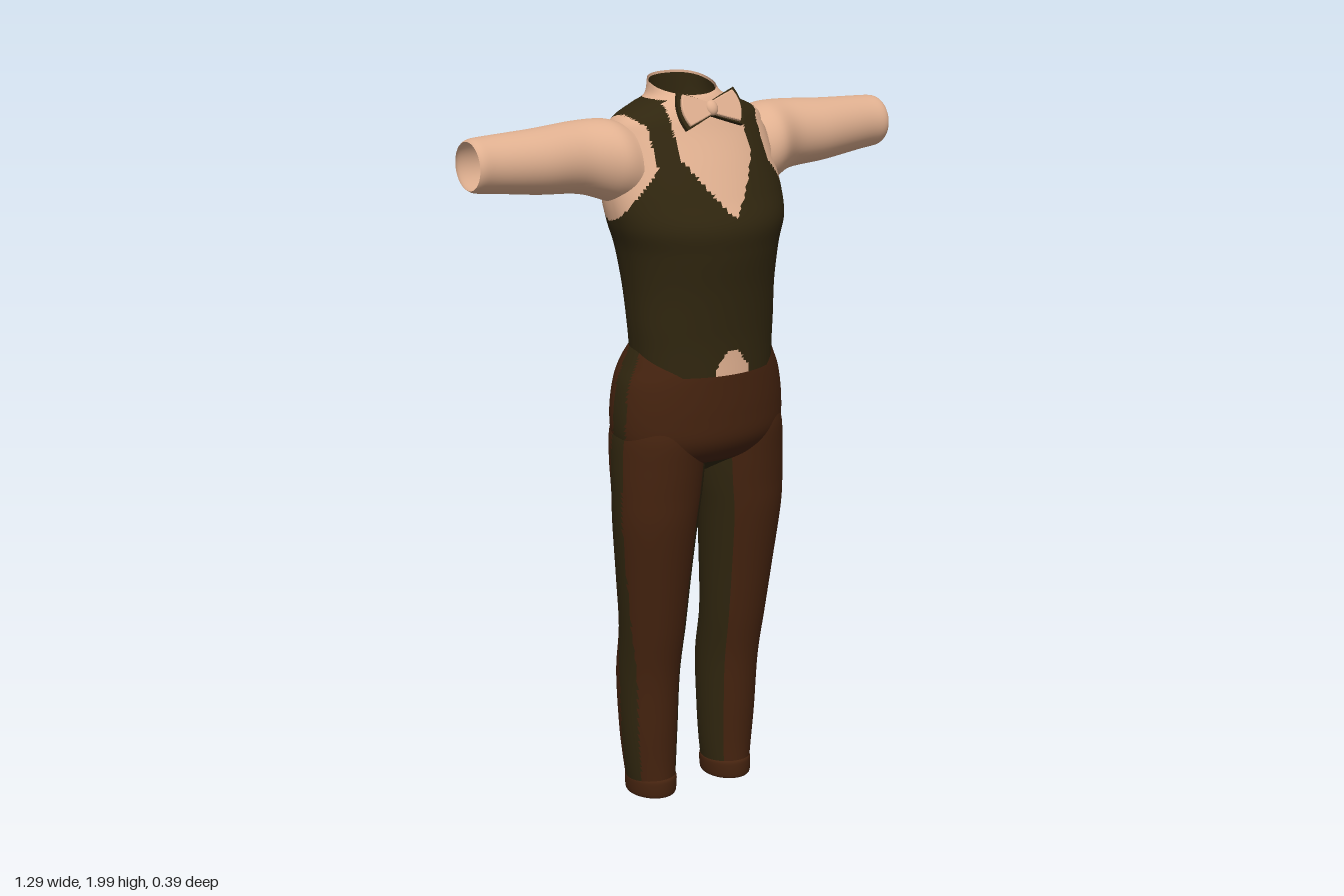
import * as THREE from 'three';

const mat = (name, color) => {
  const m = new THREE.MeshStandardMaterial({ color, side: THREE.DoubleSide });
  m.name = name;
  return m;
};

// Catmull-Rom blend of four numbers
const blend = (a, b, c, d, t) =>
  b + 0.5 * t * (c - a + t * (2 * a - 5 * b + 4 * c - d + t * (3 * (b - c) + d - a)));

// Smooth tube through rows [h, u0, u1, v0, v1, tilt], split into material groups.
// pick(point, cosine) gives a material index, or -1 for a hole.
function loft(name, rows, materials, { segs = 48, steps = 6, back = 2, along = 'y', pick = () => 0 } = {}) {
  const pos = [], pts = [], last = (rows.length - 1) * steps;
  for (let j = 0; j <= last; j++) {
    const k = Math.min(Math.floor(j / steps), rows.length - 2), t = j / steps - k;
    const row = (i) => rows[Math.max(0, Math.min(rows.length - 1, i))];
    const [h, u0, u1, v0, v1, tilt] = [0, 1, 2, 3, 4, 5].map((c) =>
      blend(row(k - 1)[c] || 0, row(k)[c] || 0, row(k + 1)[c] || 0, row(k + 2)[c] || 0, t));
    for (let i = 0; i < segs; i++) {
      const a = (i / segs) * Math.PI * 2, e = Math.sin(a) < 0 ? 2 / back : 1;
      const c = Math.sign(Math.cos(a)) * Math.abs(Math.cos(a)) ** e;
      const s = Math.sign(Math.sin(a)) * Math.abs(Math.sin(a)) ** e;
      const u = (u0 + u1) / 2 + c * (u1 - u0) / 2, v = (v0 + v1) / 2 + s * (v1 - v0) / 2;
      const y = h - (tilt || 0) * s;
      const p = along === 'y' ? new THREE.Vector3(u, y, v) : new THREE.Vector3(y, v, u);
      pts.push(p);
      pos.push(p.x, p.y, p.z);
    }
  }
  const all = [], buckets = materials.map(() => []);
  for (let j = 0; j < last; j++) {
    for (let i = 0; i < segs; i++) {
      const n = (i + 1) % segs;
      const a = j * segs + i, b = a + segs, c = j * segs + n, d = c + segs;
      for (const tri of [[a, b, c], [c, b, d]]) {
        all.push(...tri);
        const mid = new THREE.Vector3();
        tri.forEach((q) => mid.addScaledVector(pts[q], 1 / 3));
        const m = pick(mid, Math.cos(((i + 0.5) / segs) * Math.PI * 2));
        if (m >= 0) buckets[m].push(...tri);
      }
    }
  }
  const geo = new THREE.BufferGeometry();
  geo.setAttribute('position', new THREE.Float32BufferAttribute(pos, 3));
  geo.setIndex(all);
  geo.computeVertexNormals();
  geo.setIndex(buckets.flat());
  let start = 0;
  buckets.forEach((b, m) => { geo.addGroup(start, b.length, m); start += b.length; });
  const mesh = new THREE.Mesh(geo, materials);
  mesh.name = name;
  return mesh;
}

export function createModel() {
  const model = new THREE.Group();
  model.name = 'suit';
  const shirt = mat('shirt', 0xe0b090);
  const olive = mat('darkOlive', 0x30260f);
  const brown = mat('brown', 0x45230f);

  // Symmetric rows from [height, half width, back, front, tilt]
  const even = (rows) => rows.map(([y, w, b, f, t]) => [y, -w, w, b, f, t]);

  // Waistcoat over shirt: V neck, armholes and the small gap at the waist
  const torsoPick = ({ x, y, z }) => {
    const ax = Math.abs(x);
    if (ax > 0.15 && Math.hypot(y - 1.815, z + 0.065) < 0.07) return -1;
    if (y > 1.945) return 1;
    if (ax > 0.17 && Math.hypot((z + 0.045) / 0.125, (y - 1.775) / 0.135) < 1) return 1;
    if (z > 0 && y > 1.655 && ax < Math.min(0.11, 0.11 * ((y - 1.655) / 0.15) ** 0.85)) return 1;
    if (z > 0 && y < 1.3 && ax < Math.min(0.052, 0.016 + (1.3 - y) * 0.75)) return 1;
    return 0;
  };
  model.add(loft('waistcoatAndShirt', even([
    [1.235, 0.2, -0.11, 0.176], [1.3, 0.203, -0.113, 0.174], [1.36, 0.207, -0.118, 0.175],
    [1.46, 0.212, -0.14, 0.182], [1.56, 0.225, -0.165, 0.195], [1.63, 0.245, -0.178, 0.198],
    [1.7, 0.253, -0.187, 0.166], [1.78, 0.245, -0.185, 0.125], [1.86, 0.232, -0.17, 0.08],
    [1.9, 0.21, -0.155, 0.06], [1.93, 0.15, -0.147, 0.045], [1.95, 0.105, -0.142, 0.03],
    [1.977, 0.092, -0.143, 0.018, 0.022],
  ]), [olive, shirt], { segs: 144, steps: 9, back: 2.5, pick: torsoPick }));

  // Dark lining inside the neck
  model.add(loft('neckLining', even([
    [1.915, 0.08, -0.13, 0.01], [1.945, 0.088, -0.134, 0.018], [1.972, 0.088, -0.139, 0.014, 0.021],
  ]), [olive], { back: 2.5 }));

  // Trouser hips with a dark side panel
  model.add(loft('trouserHips', even([
    [0.935, 0.03, -0.04, 0.03], [0.97, 0.13, -0.1, 0.09], [1.0, 0.225, -0.132, 0.135],
    [1.05, 0.248, -0.152, 0.167], [1.12, 0.252, -0.16, 0.172], [1.2, 0.241, -0.157, 0.171],
    [1.25, 0.222, -0.15, 0.168], [1.29, 0.205, -0.125, 0.155], [1.31, 0.195, -0.108, 0.148],
  ]), [brown, olive], {
    segs: 96, back: 2.3,
    pick: ({ x, y, z }) => (y < 0.985 || (Math.abs(x) > 0.15 && Math.abs(z - 0.005) < 0.03) ? 1 : 0),
  }));

  for (const side of [1, -1]) {
    const label = side > 0 ? 'left' : 'right';
    const half = new THREE.Group();
    half.name = label + 'Limbs';
    half.scale.x = side;

    // Open shirt sleeve; rows are [x, z0, z1, y0, y1]
    half.add(loft(label + 'Sleeve', [
      [0.2, -0.165, 0.06, 1.67, 1.89], [0.25, -0.175, 0.062, 1.69, 1.905],
      [0.33, -0.166, 0.025, 1.715, 1.904], [0.45, -0.156, 0.02, 1.726, 1.896],
      [0.58, -0.146, 0.003, 1.742, 1.89], [0.63, -0.141, 0, 1.748, 1.887],
      [0.645, -0.135, -0.006, 1.755, 1.88],
    ], [shirt], { along: 'x' }));

    // Trouser leg with dark inner and outer panels
    half.add(loft(label + 'TrouserLeg', [
      [0.03, 0.062, 0.19, -0.115, 0.035], [0.1, 0.055, 0.2, -0.122, 0.035],
      [0.2, 0.05, 0.21, -0.13, 0.04], [0.36, 0.045, 0.218, -0.135, 0.05],
      [0.5, 0.04, 0.226, -0.107, 0.072], [0.65, 0.032, 0.24, -0.105, 0.095],
      [0.81, 0.02, 0.255, -0.107, 0.12], [0.9, 0.008, 0.257, -0.112, 0.128],
      [0.98, 0, 0.256, -0.13, 0.135], [1.06, 0, 0.25, -0.14, 0.14], [1.12, 0.02, 0.23, -0.12, 0.13],
    ], [brown, olive], {
      segs: 64,
      pick: ({ y, z }, c) => (c < -0.6 || (c > 0 && Math.abs(z + 0.03 * (1.1 - y)) < 0.033) ? 1 : 0),
    }));

    // Turned-up cuff and its dark inside
    half.add(loft(label + 'TrouserCuff', [
      [0.005, 0.068, 0.183, -0.112, 0.032], [0.012, 0.06, 0.192, -0.121, 0.04],
      [0.05, 0.057, 0.194, -0.121, 0.04], [0.06, 0.064, 0.188, -0.113, 0.033],
    ], [brown]));
    const inside = new THREE.Mesh(new THREE.CircleGeometry(1, 32), olive);
    inside.name = label + 'CuffInside';
    inside.scale.set(0.06, 0.072, 1);
    inside.rotation.x = Math.PI / 2;
    inside.position.set(0.126, 0.02, -0.04);
    half.add(inside);
    model.add(half);
  }

  // Bow tie: light wings with a dark border, and a knot
  const bow = new THREE.Group();
  bow.name = 'bowTie';
  bow.position.set(0, 1.92, 0.058);
  bow.rotation.x = -0.48;
  const wing = (w, h, k) => {
    const s = new THREE.Shape();
    s.moveTo(0, k);
    s.quadraticCurveTo(w * 0.5, h * 0.75, w * 0.85, h);
    s.quadraticCurveTo(w * 1.1, 0, w * 0.85, -h);
    s.quadraticCurveTo(w * 0.5, -h * 0.75, 0, -k);
    s.closePath();
    return s;
  };
  for (const side of [1, -1]) {
    const label = side > 0 ? 'left' : 'right';
    const border = new THREE.Mesh(
      new THREE.ExtrudeGeometry(wing(0.102, 0.052, 0.018), { depth: 0.012, bevelEnabled: false }), olive);
    border.name = label + 'BowBorder';
    const face = new THREE.Mesh(new THREE.ExtrudeGeometry(wing(0.09, 0.04, 0.013),
      { depth: 0.006, bevelThickness: 0.004, bevelSize: 0.003, bevelSegments: 2 }), shirt);
    face.name = label + 'BowWing';
    face.position.z = 0.01;
    border.scale.x = face.scale.x = side;
    bow.add(border, face);
  }
  const knot = new THREE.Mesh(new THREE.SphereGeometry(1, 20, 14), shirt);
  knot.name = 'bowKnot';
  knot.scale.set(0.018, 0.021, 0.014);
  knot.position.z = 0.016;
  bow.add(knot);
  model.add(bow);
  return model;
}
